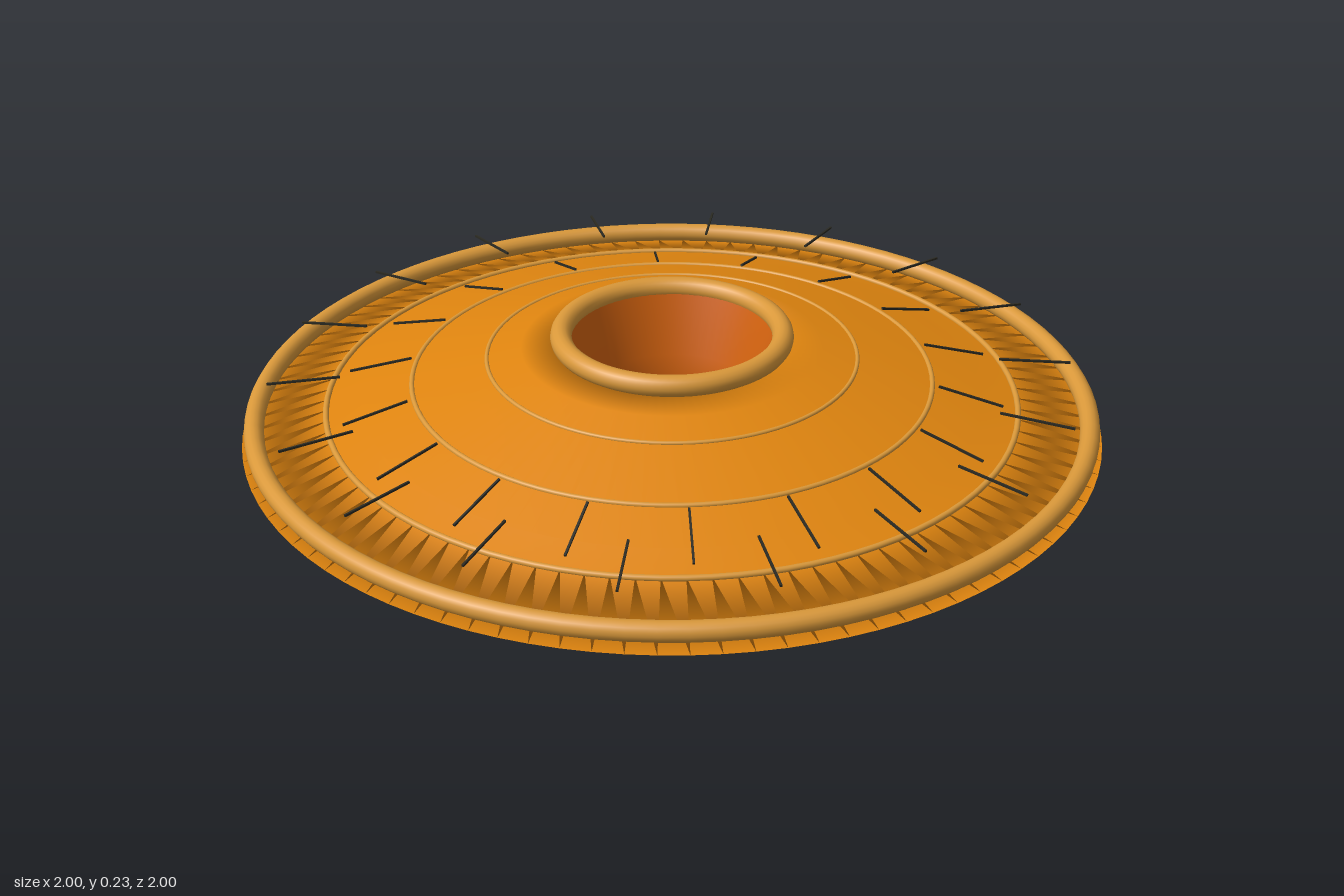
import * as THREE from 'three';

const mat = (name, color, side = THREE.FrontSide) => {
  const m = new THREE.MeshStandardMaterial({ color, side });
  m.name = name;
  return m;
};

export function createModel() {
  const group = new THREE.Group();
  const amber = mat('amber', 0xe0850f);
  const brass = mat('brass', 0xd9983a);
  const copper = mat('copper', 0xd2620f, THREE.DoubleSide);
  const dark = mat('dark', 0x2b2a22);

  const add = (name, geometry, material, parent = group) => {
    const mesh = new THREE.Mesh(geometry, material);
    mesh.name = name;
    parent.add(mesh);
    return mesh;
  };

  // Closed saucer body: flat base, thin edge, sloped top, central bore
  const profile = [
    [0.235, 0], [1, 0], [0.8, 0.055], [0.72, 0.075], [0.35, 0.185], [0.235, 0.19], [0.235, 0],
  ].map(([r, y]) => new THREE.Vector2(r, y));
  add('saucerBody', new THREE.LatheGeometry(profile, 96), amber);

  // Tapered lining of the central hole
  const sleeve = [[0.185, 0.004], [0.19, 0.06], [0.235, 0.205]].map(([r, y]) => new THREE.Vector2(r, y));
  add('holeLining', new THREE.LatheGeometry(sleeve, 64), copper);

  // Rim, collar and fine rings: radius, tube, height
  const rings = [
    ['outerRim', 0.97, 0.023, 0.037],
    ['collar', 0.257, 0.025, 0.21],
    ['innerRing', 0.43, 0.005, 0.161],
    ['middleRing', 0.605, 0.006, 0.109],
    ['outerRing', 0.805, 0.007, 0.056],
  ];
  for (const [name, radius, tube, y] of rings) {
    const geometry = new THREE.TorusGeometry(radius, tube, 16, 96);
    geometry.rotateX(Math.PI / 2);
    add(name, geometry, brass).position.y = y;
  }

  // Thin radial marks: one row on the slope, one row raised near the rim
  const addMarks = (name, r0, y0, r1, y1, offset) => {
    const row = new THREE.Group();
    row.name = name;
    group.add(row);
    const length = Math.hypot(r1 - r0, y1 - y0);
    const geometry = new THREE.BoxGeometry(length, 0.005, 0.005);
    geometry.rotateZ(Math.atan2(y1 - y0, r1 - r0));
    geometry.translate((r0 + r1) / 2, (y0 + y1) / 2, 0);
    for (let i = 0; i < 18; i++) {
      add('mark', geometry, dark, row).rotation.y = ((i + offset) * Math.PI) / 9;
    }
  };
  addMarks('slopeMarks', 0.62, 0.111, 0.77, 0.068, 0);
  addMarks('rimMarks', 0.77, 0.122, 0.94, 0.108, 0.5);

  return group;
}
